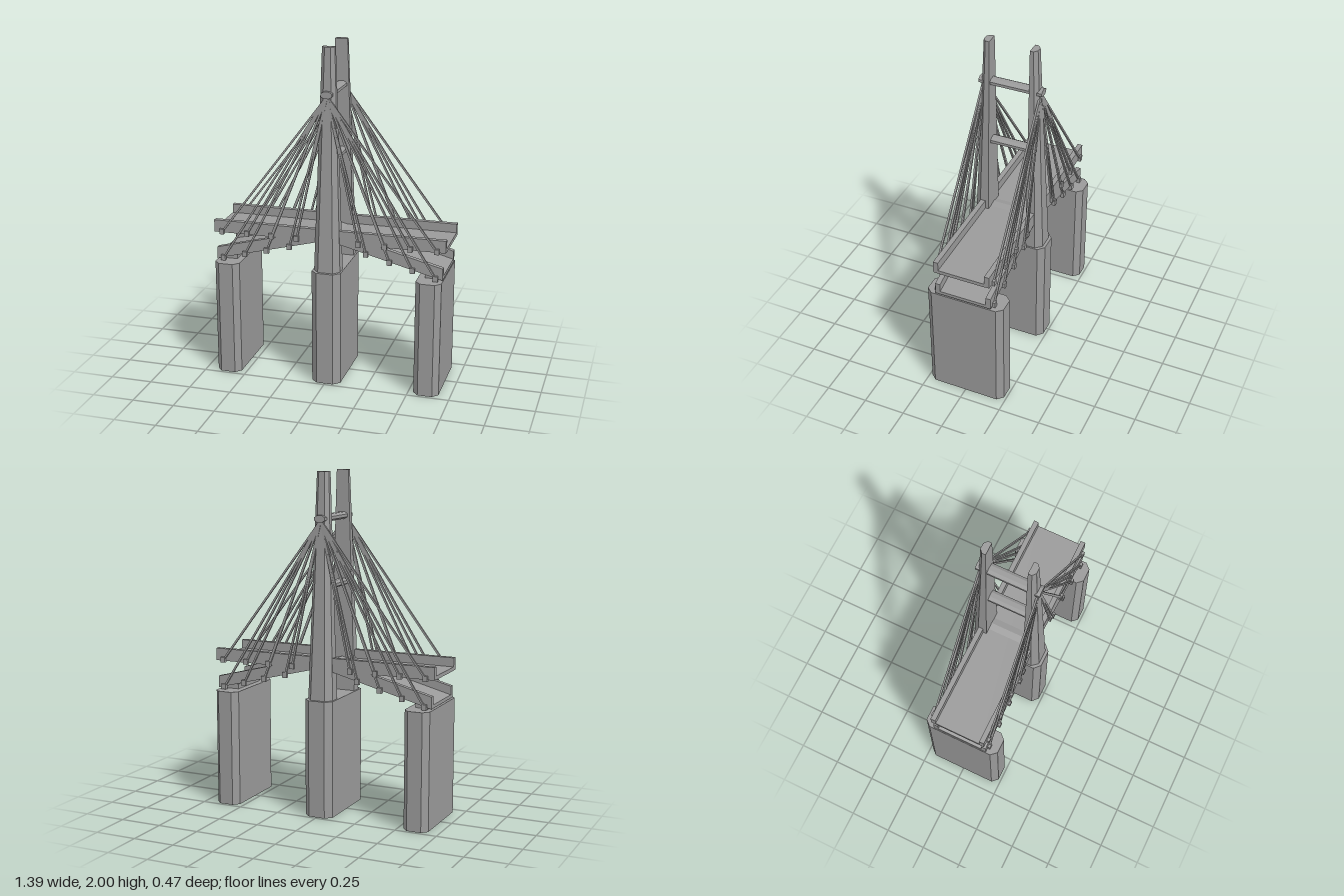
import * as THREE from 'three';

const mat = new THREE.MeshStandardMaterial({ color: 0x9a9a9a, flatShading: true, side: THREE.DoubleSide });

function add(parent, name, geometry) {
  const mesh = new THREE.Mesh(geometry, mat);
  mesh.name = name;
  parent.add(mesh);
  return mesh;
}

function addBox(parent, name, w, h, d, x, y, z) {
  const mesh = add(parent, name, new THREE.BoxGeometry(w, h, d));
  mesh.position.set(x, y, z);
  return mesh;
}

// Solid between two [x, z] outlines (counter-clockwise from above), open underneath
function loft(bottom, y0, top, y1) {
  const p = [], n = bottom.length;
  const lo = i => [bottom[i % n][0], y0, bottom[i % n][1]];
  const hi = i => [top[i % n][0], y1, top[i % n][1]];
  for (let i = 0; i < n; i++) {
    p.push(...lo(i), ...lo(i + 1), ...hi(i + 1), ...lo(i), ...hi(i + 1), ...hi(i));
    if (i > 0 && i < n - 1) p.push(...hi(0), ...hi(i), ...hi(i + 1));
  }
  const g = new THREE.BufferGeometry();
  g.setAttribute('position', new THREE.Float32BufferAttribute(p, 3));
  g.computeVertexNormals();
  return g;
}

// Side outline [x, y] extruded across z from z0 to z1
function slab(points, z0, z1) {
  const shape = new THREE.Shape(points.map(([x, y]) => new THREE.Vector2(x, y)));
  return new THREE.ExtrudeGeometry(shape, { depth: z1 - z0, bevelEnabled: false }).translate(0, 0, z0);
}

// Straight square cable between two points
function addCable(parent, a, b) {
  const mesh = add(parent, 'cable', new THREE.BoxGeometry(0.011, 0.011, a.distanceTo(b)));
  mesh.position.lerpVectors(a, b, 0.5);
  mesh.lookAt(b);
}

export function createModel() {
  const model = new THREE.Group();
  model.name = 'cableStayedBridge';

  // Three piers with chamfered corners
  for (const [x, w, f] of [[-0.608, 0.075, 0.043], [0, 0.087, 0.05], [0.605, 0.075, 0.043]]) {
    const o = [[-w, -0.2], [-w, 0.2], [-f, 0.235], [f, 0.235], [w, 0.2], [w, -0.2], [f, -0.235], [-f, -0.235]];
    add(model, 'pier', loft(o, 0, o, 0.693)).position.x = x;
  }

  // Tapered pylon legs, chamfered on the outside
  const leg = (w, f, c, zo) => [[-w, 0.12], [-w, c], [-f, zo], [f, zo], [w, c], [w, 0.12]];
  for (const turn of [0, Math.PI]) {
    add(model, 'pylonLeg', loft(leg(0.078, 0.045, 0.18, 0.218), 0.69, leg(0.037, 0.017, 0.142, 0.16), 2)).rotation.y = turn;
  }

  // Octagonal crossbars between the legs
  for (const [y, length] of [[1.735, 0.38], [1.345, 0.26]]) {
    const bar = add(model, 'crossbar', new THREE.CylinderGeometry(1, 1, length, 8).rotateY(Math.PI / 8).rotateX(Math.PI / 2));
    bar.scale.set(0.036, 0.022, 1);
    bar.position.y = y;
  }

  // Level upper deck with parapets
  const upper = new THREE.Group();
  upper.name = 'upperDeck';
  model.add(upper);
  addBox(upper, 'roadway', 1.39, 0.022, 0.29, 0, 0.876, 0);
  for (const s of [-1, 1]) addBox(upper, 'parapet', 1.39, 0.073, 0.03, 0, 0.903, s * 0.156);

  // Lower deck falling away from the pylon to both ends
  const lower = new THREE.Group();
  lower.name = 'lowerDeck';
  model.add(lower);
  const base = x => 0.877 - 0.258 * Math.abs(x);
  const band = h => [[-0.68, base(0.68)], [0, base(0)], [0.68, base(0.68)],
    [0.68, base(0.68) + h], [0, base(0) + h], [-0.68, base(0.68) + h]];
  add(lower, 'roadway', slab(band(0.02), -0.142, 0.142));
  for (const s of [-1, 1]) {
    add(lower, 'parapet', slab(band(0.07), s * 0.156 - 0.015, s * 0.156 + 0.015));
    addBox(lower, 'bearing', 0.09, 0.035, 0.26, s * 0.615, 0.705, 0);
  }

  // Cables fanning from the pylon to anchors along both decks
  const anchors = [
    ...[0.185, 0.34, 0.49, 0.645].map(x => [x, 0.872]),
    ...[0.23, 0.37, 0.505, 0.64].map(x => [x, base(x) - 0.002]),
  ];
  for (const sx of [-1, 1]) for (const sz of [-1, 1]) for (const [x, y] of anchors) {
    const from = new THREE.Vector3(0, 1.725, sz * 0.172);
    const to = new THREE.Vector3(sx * x, y, sz * 0.175);
    addCable(model, from, to);
    addBox(model, 'cableAnchor', 0.028, 0.032, 0.022, sx * x, y + 0.002, sz * 0.176);
  }

  return model;
}
